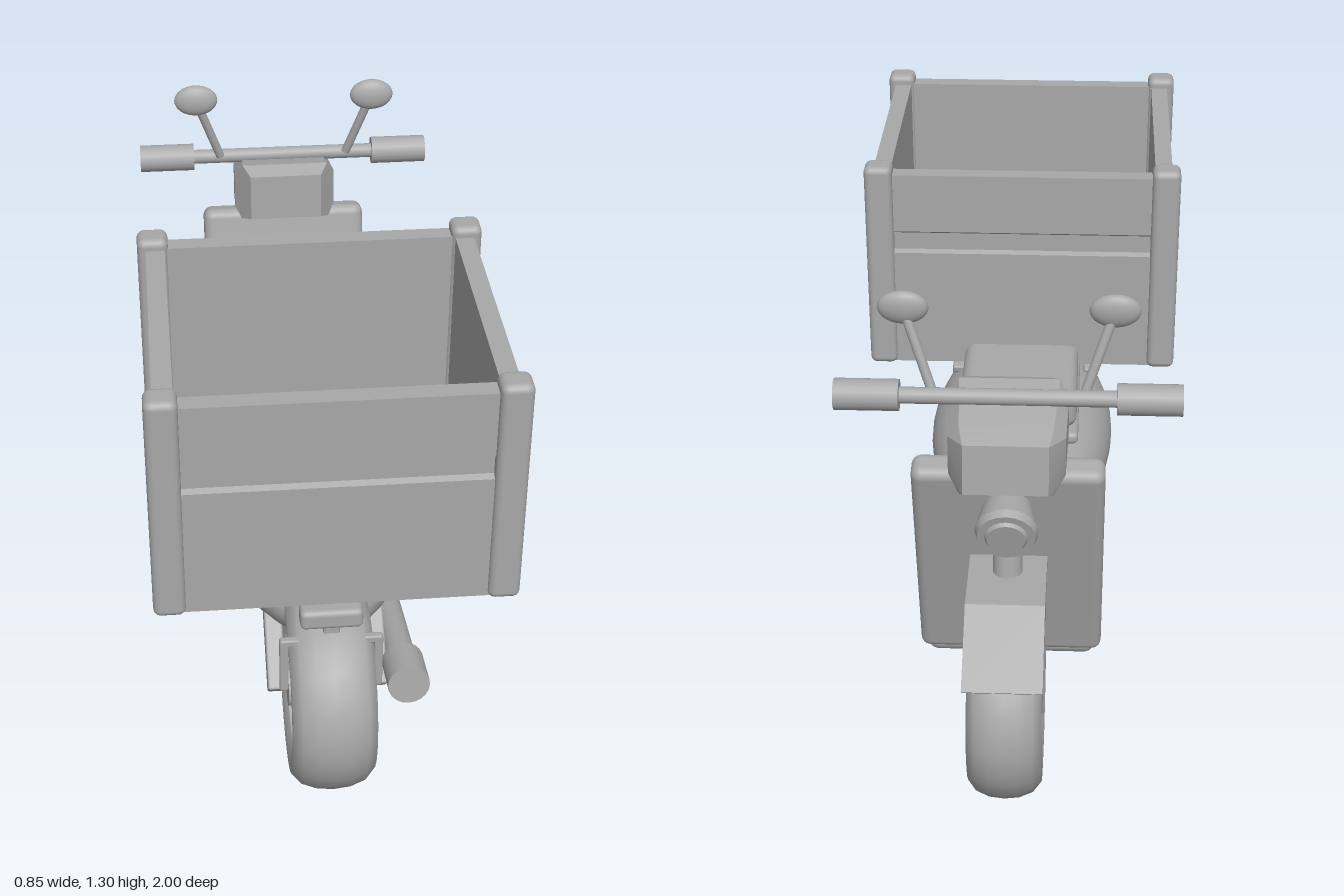
import * as THREE from 'three';
import { toCreasedNormals } from 'three/addons/utils/BufferGeometryUtils.js';
import { RoundedBoxGeometry } from 'three/addons/geometries/RoundedBoxGeometry.js';
import { ConvexGeometry } from 'three/addons/geometries/ConvexGeometry.js';

const grey = new THREE.MeshStandardMaterial({ color: 0xa8a8a8 });
grey.name = 'plain grey';
const V = (x, y, z) => new THREE.Vector3(x, y, z);

export function createModel() {
  const model = new THREE.Group();
  model.name = 'deliveryScooter';

  const add = (name, geo, x = 0, y = 0, z = 0, rx = 0, parent = model) => {
    const m = new THREE.Mesh(geo, grey);
    m.name = name;
    m.position.set(x, y, z);
    m.rotation.x = rx;
    parent.add(m);
    return m;
  };
  const rbox = (w, h, d, r = 0.012) => new RoundedBoxGeometry(w, h, d, 3, r);
  // Round rod from a to b
  const rod = (name, a, b, ra, rb = ra) => {
    const dir = b.clone().sub(a);
    const m = add(name, new THREE.CylinderGeometry(rb, ra, dir.length(), 20));
    m.position.copy(a).add(b).multiplyScalar(0.5);
    m.quaternion.setFromUnitVectors(V(0, 1, 0), dir.normalize());
    return m;
  };
  // Flat bar between two points in a plane of constant x
  const bar = (name, x, y0, z0, y1, z1, w, t) => {
    const dy = y1 - y0, dz = z1 - z0;
    return add(name, rbox(w, t, Math.hypot(dy, dz), 0.006), x, (y0 + y1) / 2, (z0 + z1) / 2, -Math.atan2(dy, dz));
  };

  // Wheels: tyre, recessed disc and hub
  const tyreProfile = [[0.166, -0.065], [0.17, -0.09], [0.19, -0.103], [0.222, -0.103], [0.248, -0.08],
    [0.262, -0.042], [0.266, 0], [0.262, 0.042], [0.248, 0.08], [0.222, 0.103], [0.19, 0.103],
    [0.17, 0.09], [0.166, 0.065]].map(p => new THREE.Vector2(...p));
  const wheel = (name, z, widthScale) => {
    const g = new THREE.Group();
    g.name = name;
    add('tyre', toCreasedNormals(new THREE.LatheGeometry(tyreProfile, 32), 0.75), 0, 0, 0, 0, g);
    add('wheelDisc', new THREE.CylinderGeometry(0.168, 0.168, 0.15, 32), 0, 0, 0, 0, g);
    add('hub', new THREE.CylinderGeometry(0.055, 0.055, 0.2, 24), 0, 0, 0, 0, g);
    g.rotation.z = Math.PI / 2;
    g.scale.y = widthScale;
    g.position.set(0, 0.268, z);
    model.add(g);
  };
  wheel('rearWheel', 0.736, 1);
  wheel('frontWheel', -0.715, 0.88);

  // Body, floor and leg shield
  const body = add('body', new THREE.SphereGeometry(1, 40, 28), 0, 0.463, 0.245);
  body.scale.set(0.256, 0.184, 0.497);
  add('floorboard', rbox(0.434, 0.09, 0.6, 0.03), 0, 0.274, -0.215);
  add('legShield', rbox(0.464, 0.645, 0.08, 0.025), 0, 0.575, -0.566, -0.245);

  // Seat
  add('seatBase', rbox(0.325, 0.034, 0.5, 0.014), 0, 0.642, 0.138);
  add('seatCushion', rbox(0.315, 0.095, 0.43, 0.03), 0, 0.712, 0.115);

  // Steering column, headlight and front mudguard
  rod('steeringColumn', V(0, 0.5, -0.695), V(0, 0.9, -0.64), 0.036);
  rod('headlight', V(0, 0.775, -0.665), V(0, 0.757, -0.735), 0.06, 0.076);
  rod('headlightRim', V(0, 0.757, -0.735), V(0, 0.752, -0.755), 0.076, 0.07);
  rod('headlightLens', V(0, 0.752, -0.755), V(0, 0.75, -0.763), 0.052, 0.046);
  const guard = new THREE.Shape([[0.44, 0.47], [0.61, 0.58], [0.81, 0.58], [0.98, 0.465],
    [1.0, 0.482], [0.825, 0.608], [0.6, 0.608], [0.435, 0.498]].map(p => new THREE.Vector2(...p)));
  const guardGeo = new THREE.ExtrudeGeometry(guard, { depth: 0.19, bevelEnabled: false });
  guardGeo.translate(0, 0, -0.095).rotateY(Math.PI / 2);
  add('frontMudguard', guardGeo);

  // Handlebar housing
  const headPoints = [];
  for (const s of [1, -1]) {
    headPoints.push(V(s * 0.1, 1.05, -0.51), V(s * 0.1, 0.92, -0.505), V(s * 0.12, 1.068, -0.55),
      V(s * 0.125, 0.905, -0.54), V(s * 0.142, 1.03, -0.58), V(s * 0.142, 0.93, -0.57),
      V(s * 0.138, 1.0, -0.71), V(s * 0.138, 0.9, -0.71), V(s * 0.11, 1.03, -0.72),
      V(s * 0.1, 1.01, -0.768), V(s * 0.1, 0.885, -0.78), V(s * 0.11, 0.868, -0.75));
  }
  add('handlebarHousing', toCreasedNormals(new ConvexGeometry(headPoints), 0.45));

  // Handlebar, grips and mirrors
  rod('handlebar', V(-0.27, 1.062, -0.63), V(0.27, 1.062, -0.63), 0.02);
  for (const s of [1, -1]) {
    rod('grip', V(s * 0.255, 1.062, -0.63), V(s * 0.408, 1.062, -0.63), 0.038);
    rod('mirrorStem', V(s * 0.18, 1.07, -0.615), V(s * 0.238, 1.24, -0.578), 0.012);
    const mirror = add('mirror', new THREE.SphereGeometry(1, 24, 16), s * 0.246, 1.264, -0.574, -0.1);
    mirror.scale.set(0.06, 0.043, 0.023);
  }

  // Cargo crate: floor, four stepped walls and corner posts
  const crate = new THREE.Group();
  crate.name = 'cargoCrate';
  crate.position.z = 0.579;
  model.add(crate);
  add('crateFloor', new THREE.BoxGeometry(0.76, 0.03, 0.72), 0, 0.718, 0, 0, crate);
  const section = new THREE.Shape([[-0.05, 0.703], [0, 0.703], [0, 1.035], [-0.014, 1.042], [-0.014, 1.09],
    [-0.004, 1.097], [-0.004, 1.26], [-0.05, 1.26]].map(p => new THREE.Vector2(...p)));
  for (let i = 0; i < 4; i++) {
    const alongZ = i % 2 === 0;
    const len = alongZ ? 0.7 : 0.76;
    const geo = new THREE.ExtrudeGeometry(section, { depth: len, bevelEnabled: false });
    geo.translate(alongZ ? 0.406 : 0.375, 0, -len / 2);
    add('crateWall', geo, 0, 0, 0, 0, crate).rotation.y = i * Math.PI / 2;
  }
  for (const sx of [1, -1]) for (const sz of [1, -1]) {
    add('cratePost', rbox(0.075, 0.586, 0.075, 0.018), sx * 0.385, 0.993, sz * 0.353, 0, crate);
  }

  // Rack under the crate with sloping struts
  add('rackPlate', rbox(0.44, 0.034, 0.5, 0.008), 0, 0.686, 0.58);
  for (const s of [1, -1]) bar('rackStrut', s * 0.19, 0.665, 0.79, 0.585, 0.37, 0.034, 0.022);

  // Tail light, its stays and the rear arms
  add('tailLight', rbox(0.152, 0.054, 0.058, 0.014), 0, 0.557, 0.817);
  for (const s of [1, -1]) {
    add('tailStay', rbox(0.022, 0.155, 0.02, 0.005), s * 0.115, 0.415, 0.828);
    bar('rearArm', s * 0.128, 0.42, 0.59, 0.265, 0.755, 0.045, 0.055);
  }
  add('tailCrossbar', rbox(0.25, 0.02, 0.02, 0.005), 0, 0.485, 0.828);
  add('tailLightStem', rbox(0.04, 0.07, 0.018, 0.005), 0, 0.51, 0.828);

  // Exhaust
  rod('exhaustPipe', V(0.175, 0.24, 0.155), V(0.188, 0.33, 0.76), 0.037);
  rod('exhaustEnd', V(0.188, 0.333, 0.745), V(0.19, 0.348, 0.855), 0.052);
  rod('exhaustBracket', V(0.1, 0.27, 0.74), V(0.185, 0.325, 0.72), 0.02);

  return model;
}
